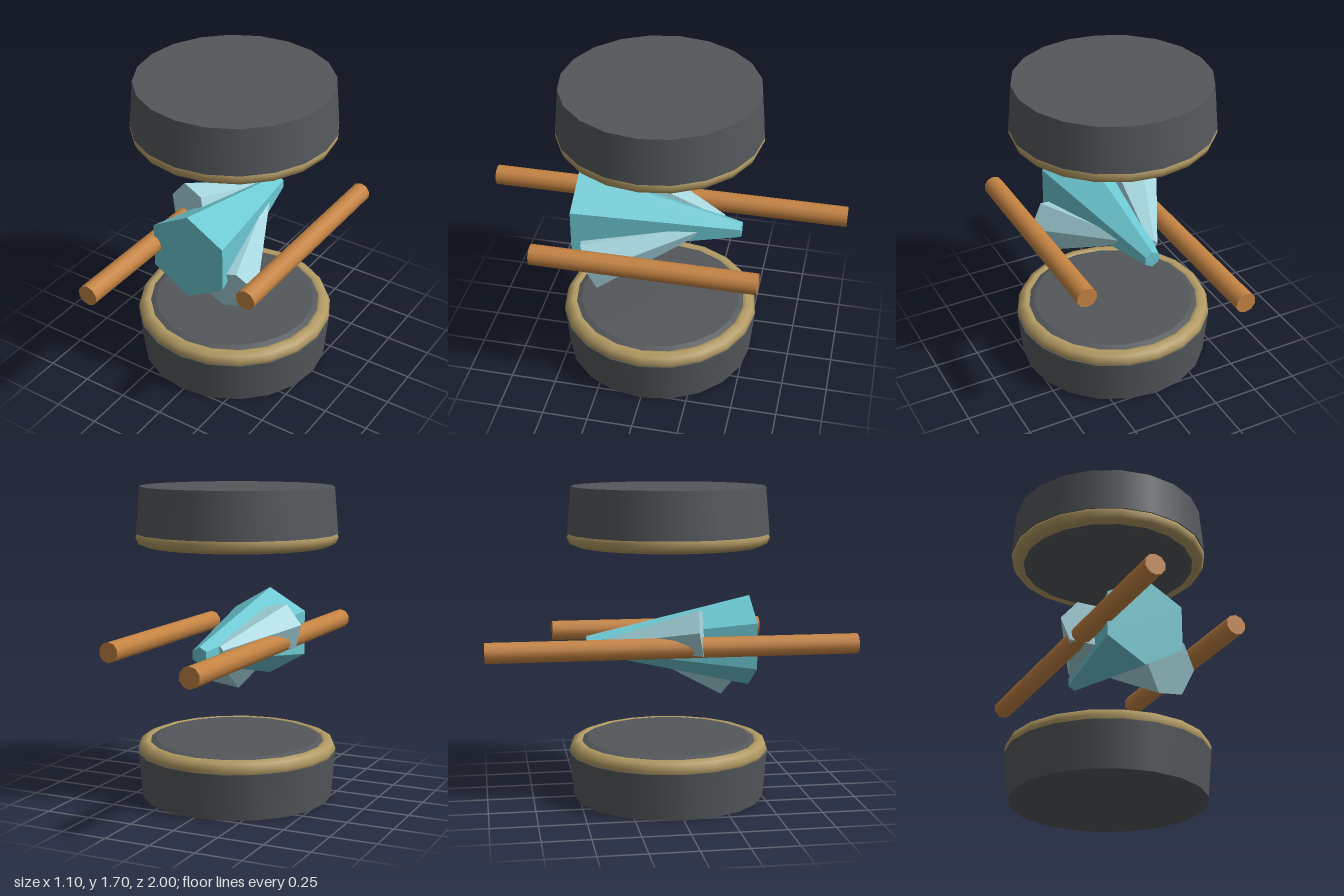
import * as THREE from 'three';

const mat = (name, color, flatShading = false) => {
  const m = new THREE.MeshStandardMaterial({ color, flatShading });
  m.name = name;
  return m;
};

export function createModel() {
  const darkMetal = mat('dark metal', 0x54585b);
  const brass = mat('brass', 0xb39b64);
  const copper = mat('copper', 0xc68443);
  const teal = mat('teal crystal', 0x6cc8d2, true);
  const paleBlue = mat('pale crystal', 0xa6d6de, true);

  const model = new THREE.Group();
  model.name = 'crystalChamber';

  const add = (parent, name, geometry, material, x = 0, y = 0, z = 0) => {
    const mesh = new THREE.Mesh(geometry, material);
    mesh.name = name;
    mesh.position.set(x, y, z);
    parent.add(mesh);
    return mesh;
  };

  // End cap: flared drum, brass rim and a bevelled inner plate
  const makeCap = (name) => {
    const cap = new THREE.Group();
    cap.name = name;
    add(cap, 'drum', new THREE.CylinderGeometry(0.547, 0.525, 0.25, 20), darkMetal, 0, 0.125, 0);
    const rim = new THREE.TorusGeometry(0.498, 0.05, 8, 20).rotateX(Math.PI / 2);
    add(cap, 'rim', rim, brass, 0, 0.268, 0);
    add(cap, 'innerPlate', new THREE.CylinderGeometry(0.45, 0.5, 0.022, 20), darkMetal, 0, 0.311, 0);
    model.add(cap);
    return cap;
  };
  makeCap('lowerCap');
  const upper = makeCap('upperCap');
  upper.rotation.x = Math.PI;
  upper.position.y = 1.7;

  // Horizontal rods running front to back
  const addRod = (name, x, length) => {
    const rod = new THREE.CylinderGeometry(0.056, 0.056, length, 10).rotateX(Math.PI / 2);
    add(model, name, rod, copper, x, 0.855, 0);
  };
  addRod('longRod', -0.227, 2);
  addRod('shortRod', 0.453, 1.21);

  // Six-sided crystal tapering from a wide head to a narrow tail
  const addCrystal = (name, material, head, tail, headRadius, tailRadius, roll) => {
    const a = new THREE.Vector3(...head);
    const b = new THREE.Vector3(...tail);
    const axis = a.clone().sub(b);
    const geometry = new THREE.CylinderGeometry(headRadius, tailRadius, axis.length(), 6);
    geometry.rotateX(Math.PI / 2).rotateZ(THREE.MathUtils.degToRad(roll));
    const mesh = add(model, name, geometry, material);
    mesh.position.copy(a).add(b).multiplyScalar(0.5);
    mesh.quaternion.setFromUnitVectors(new THREE.Vector3(0, 0, 1), axis.normalize());
  };
  addCrystal('mainCrystal', teal, [0, 0.85, 0.45], [0, 0.85, -0.45], 0.25, 0.045, 0);
  addCrystal('lowerCrystal', paleBlue, [0.2, 0.66, 0.355], [0.05, 0.86, -0.24], 0.157, 0.025, -21);
  addCrystal('upperCrystal', paleBlue, [-0.2, 0.925, 0.155], [-0.06, 0.86, -0.34], 0.142, 0.028, 19);

  return model;
}
